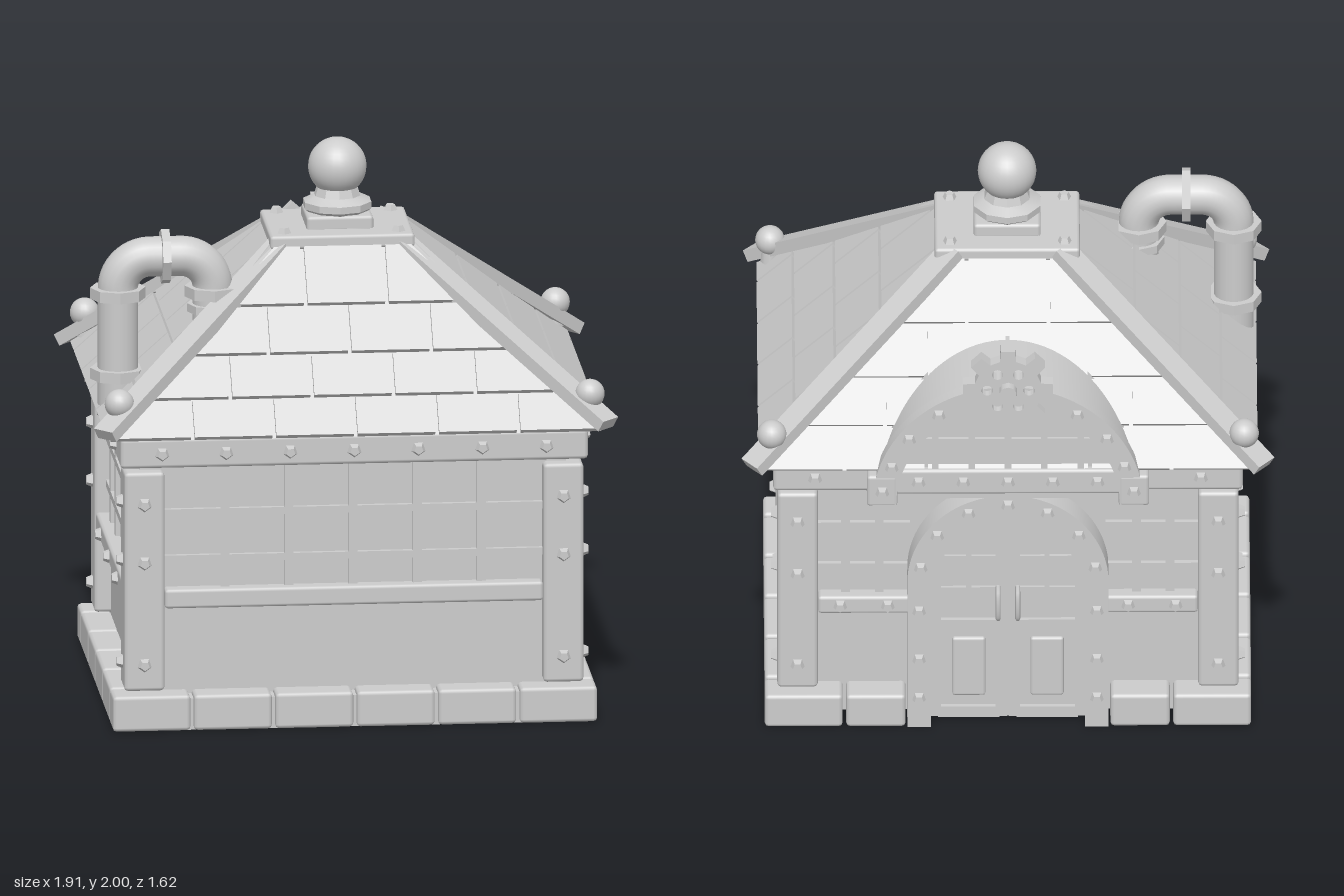
import * as THREE from 'three';
import { toCreasedNormals } from 'three/addons/utils/BufferGeometryUtils.js';
import { RoundedBoxGeometry } from 'three/addons/geometries/RoundedBoxGeometry.js';
import { ConvexGeometry } from 'three/addons/geometries/ConvexGeometry.js';

const stone = new THREE.MeshStandardMaterial({ color: 0xcccccc });
stone.name = 'pale grey';

function add(parent, name, geometry, x = 0, y = 0, z = 0) {
  const mesh = new THREE.Mesh(geometry, stone);
  mesh.name = name;
  mesh.position.set(x, y, z);
  parent.add(mesh);
  return mesh;
}

// Box from its limits, with bevelled edges when bevel > 0
function block(parent, name, x0, x1, y0, y1, z0, z1, bevel = 0) {
  const s = [x1 - x0, y1 - y0, z1 - z0];
  const g = bevel ? new RoundedBoxGeometry(...s, 1, bevel) : new THREE.BoxGeometry(...s);
  return add(parent, name, g, (x0 + x1) / 2, (y0 + y1) / 2, (z0 + z1) / 2);
}

// Five-sided bolt heads that face +z, or +y when up is true
const boltGeo = new THREE.CylinderGeometry(0.017, 0.028, 0.025, 5).toNonIndexed();
boltGeo.computeVertexNormals();
function bolt(parent, x, y, z, up = false) {
  const m = add(parent, 'bolt', boltGeo, x, y, z);
  if (!up) m.rotation.x = Math.PI / 2;
}

function extrude(shape, depth) {
  const g = new THREE.ExtrudeGeometry(shape, { depth, bevelEnabled: false, curveSegments: 28 });
  return toCreasedNormals(g, 0.5);
}

// Round-topped plate standing on y0; an inner radius makes it an open band
function arch(R, yc, y0, r = 0) {
  const s = new THREE.Shape();
  s.moveTo(-R, y0);
  s.lineTo(-R, yc);
  s.absarc(0, yc, R, Math.PI, 0, true);
  s.lineTo(R, y0);
  if (r) {
    s.lineTo(r, y0);
    s.lineTo(r, yc);
    s.absarc(0, yc, r, 0, Math.PI, false);
    s.lineTo(-r, y0);
  }
  return s;
}

// A group turned by quarter turns, so each side is built facing +z
function side(parent, name, k) {
  const g = new THREE.Group();
  g.name = name;
  g.rotation.y = k * Math.PI / 2;
  parent.add(g);
  return g;
}

function buildBase(house) {
  const base = side(house, 'stoneBase', 0), D = 0.708, gap = 0.006;
  block(base, 'floor', -0.85, 0.85, 0, 0.115, -0.58, 0.69);
  const stoneBlock = (a, b, c, d) =>
    block(base, 'baseStone', a + gap, b - gap, 0, 0.13, c + gap, d - gap, 0.014);
  const cuts = [-0.876, -0.585, -0.2925, 0, 0.2925, 0.585, 0.876];
  for (let i = 0; i < 6; i++) stoneBlock(cuts[i], cuts[i + 1], 0.57, D + gap);
  for (const s of [-1, 1]) {
    for (let i = 0; i < 4; i++) {
      const z = -0.57 + i * 0.285;
      stoneBlock(s > 0 ? 0.72 : -0.876, s > 0 ? 0.876 : -0.72, z, z + 0.285);
    }
    const back = [[0.36, 0.585], [0.585, 0.876]];
    for (const [a, b] of back) stoneBlock(s > 0 ? a : -b, s > 0 ? b : -a, -D - gap, -0.57);
  }
}

function buildWalls(house) {
  block(house, 'walls', -0.765, 0.765, 0.1, 1.0, -0.6, 0.61);
  block(house, 'topBeam', -0.84, 0.84, 0.96, 1.07, -0.672, 0.672, 0.014);
  for (const sx of [-1, 1]) for (const sz of [-1, 1])
    add(house, 'cornerPost', new RoundedBoxGeometry(0.145, 0.805, 0.145, 1, 0.014), sx * 0.7525, 0.54, sz * 0.59);
  const names = ['frontSide', 'rightSide', 'backSide', 'leftSide'];
  for (let k = 0; k < 4; k++) {
    const g = side(house, names[k], k), long = k % 2 === 0, back = k === 2;
    const wall = long ? (back ? 0.6 : 0.61) : 0.765;
    const half = long ? 0.68 : 0.517;
    const post = long ? 0.7525 : 0.59, postFace = long ? 0.6625 : 0.825;
    for (const s of [-1, 1]) for (const y of [0.235, 0.61, 0.825]) bolt(g, s * post, y, postFace + 0.01);
    // Bolts along the beam
    const pitch = long ? 0.23 : 0.245, n = long ? 3 : 2;
    for (let i = -n; i <= n; i++)
      if (!back || Math.abs(i) === 3) bolt(g, i * pitch, 1.013, (long ? 0.672 : 0.84) + 0.01);
    // Window bars and sills; the back ones leave room for the door
    const xs = back ? [-0.58, -0.46, 0.46, 0.58] : long ? [-0.46, -0.23, 0, 0.23, 0.46] : [-0.36, -0.17, 0.17, 0.36];
    for (const x of xs) block(g, 'windowBar', x - 0.016, x + 0.016, 0.5, 0.97, wall - 0.01, wall + 0.018);
    const spans = back ? [[-half, -0.35], [0.35, half]] : [[-half, half]];
    for (const [a, b] of spans) {
      for (const y of [0.615, 0.785]) block(g, 'windowBar', a, b, y - 0.013, y + 0.013, wall - 0.01, wall + 0.018);
      block(g, 'windowSill', a, b, 0.44, 0.51, wall - 0.02, wall + 0.055, 0.012);
    }
    const sillBolts = back ? [-0.6, -0.43, 0.43, 0.6] : long ? [] : [-0.325, 0, 0.325];
    for (const x of sillBolts) bolt(g, x, 0.475, wall + 0.063);
  }
}

function buildRoof(house) {
  const roof = side(house, 'roof', 0);
  const y0 = 1.075, y1 = 1.645, X = [0.88, 0.24], Z = [0.72, 0.19];
  const corners = [];
  for (const i of [0, 1]) for (const a of [-1, 1]) for (const b of [-1, 1])
    corners.push(new THREE.Vector3(a * X[i], i ? y1 : y0, b * Z[i]));
  add(roof, 'roofCore', new ConvexGeometry(corners));

  // Four rows of tiles on each slope, joints staggered from row to row
  const rows = [1.075, 1.19, 1.32, 1.465, 1.645], gap = 0.007;
  for (let k = 0; k < 4; k++) {
    const [W, D] = k % 2 ? [Z, X] : [X, Z];
    const run = D[0] - D[1], rise = y1 - y0, stretch = Math.hypot(run, rise) / rise;
    const slope = new THREE.Group();
    slope.name = 'tiledSlope';
    slope.position.set(0, y0, D[0]);
    slope.rotation.x = -Math.atan2(run, rise);
    side(roof, 'roofSide', k).add(slope);
    const width = (y) => W[0] + (W[1] - W[0]) * (y - y0) / rise;
    const joints = [[-0.585, -0.2925, 0, 0.2925, 0.585], [-0.44, -0.146, 0.146, 0.44],
      [-0.2925, 0, 0.2925], [-0.146, 0.146]];
    joints.forEach((cuts, r) => {
      const lo = rows[r] + (r ? gap * 0.6 : 0), hi = rows[r + 1] - gap * 0.6;
      const edges = [-9, ...cuts, 9];
      for (let i = 0; i + 1 < edges.length; i++) {
        const at = (u, y) => new THREE.Vector2(
          THREE.MathUtils.clamp(u, -width(y), width(y)), (y - y0) * stretch);
        const a = edges[i] + gap, b = edges[i + 1] - gap;
        add(slope, 'roofTile', extrude(new THREE.Shape([at(a, lo), at(b, lo), at(b, hi), at(a, hi)]), 0.02));
      }
    });
  }

  // Hip caps with a ball at each corner
  for (const sx of [-1, 1]) for (const sz of [-1, 1]) {
    const low = new THREE.Vector3(sx * 0.91, 1.105, sz * 0.75);
    const high = new THREE.Vector3(sx * 0.2, 1.665, sz * 0.165);
    const cap = add(roof, 'hipCap', new THREE.BoxGeometry(0.09, 0.045, low.distanceTo(high)));
    cap.position.copy(low).add(high).multiplyScalar(0.5);
    cap.lookAt(high);
    add(roof, 'cornerBallNeck', new THREE.CylinderGeometry(0.03, 0.035, 0.06, 10), sx * 0.845, 1.15, sz * 0.683);
    add(roof, 'cornerBall', new THREE.SphereGeometry(0.053, 20, 14), sx * 0.845, 1.205, sz * 0.683);
  }

  // Top plate and finial
  block(roof, 'topPlate', -0.26, 0.26, 1.64, 1.69, -0.21, 0.21, 0.012);
  for (const sx of [-1, 1]) for (const sz of [-1, 1]) bolt(roof, sx * 0.205, 1.698, sz * 0.155, true);
  block(roof, 'finialPlinth', -0.12, 0.12, 1.68, 1.735, -0.115, 0.115, 0.012);
  const profile = [[0, 1.73], [0.105, 1.73], [0.125, 1.745], [0.125, 1.77], [0.085, 1.79], [0.075, 1.82], [0, 1.82]];
  add(roof, 'finialNeck', toCreasedNormals(
    new THREE.LatheGeometry(profile.map(p => new THREE.Vector2(...p)), 10), 0.3));
  add(roof, 'finialBall', new THREE.SphereGeometry(0.105, 28, 20), 0, 1.895, 0);
}

function buildDoor(house) {
  const door = side(house, 'doorway', 2), yc = 0.6;
  add(door, 'doorSurround', extrude(arch(0.36, yc, 0, 0.275), 0.125), 0, 0, 0.58);
  add(door, 'doorLeaves', extrude(arch(0.28, yc, 0), 0.05), 0, 0, 0.575);
  add(door, 'doorFrame', extrude(arch(0.277, yc, 0.01, 0.24), 0.025), 0, 0, 0.62);
  for (const s of [-1, 1]) {
    for (const y of [0.12, 0.28, 0.48]) bolt(door, s * 0.318, y, 0.713);
    block(door, 'doorStile', s * 0.024 - 0.02, s * 0.024 + 0.02, 0.01, 0.865, 0.61, 0.648);
    block(door, 'lowerPanel', s * 0.14 - 0.06, s * 0.14 + 0.06, 0.09, 0.33, 0.61, 0.64, 0.01);
    block(door, 'paneBar', s * 0.14 - 0.009, s * 0.14 + 0.009, 0.42, 0.8, 0.61, 0.636);
    for (const y of [0.025, 0.385]) block(door, 'doorRail', s * 0.14 - 0.11, s * 0.14 + 0.11, y - 0.022, y + 0.022, 0.61, 0.642);
    for (const y of [0.53, 0.66]) block(door, 'paneBar', s * 0.14 - 0.1, s * 0.14 + 0.1, y - 0.009, y + 0.009, 0.61, 0.636);
    const grip = new THREE.CatmullRomCurve3([[0.42, 0.64], [0.435, 0.68], [0.535, 0.68], [0.55, 0.64]]
      .map(([y, z]) => new THREE.Vector3(s * 0.035, y, z)));
    add(door, 'doorHandle', new THREE.TubeGeometry(grip, 14, 0.009, 6));
  }
  for (let i = 0; i <= 6; i++) {
    const a = Math.PI * (0.06 + 0.88 * i / 6);
    bolt(door, 0.318 * Math.cos(a), yc + 0.318 * Math.sin(a), 0.713);
  }
}

function buildDormer(house) {
  const dormer = side(house, 'archedDormer', 2), yc = 0.955;
  add(dormer, 'dormerVault', extrude(arch(0.475, yc + 0.03, 1.0), 0.36), 0, -0.025, 0.362);
  add(dormer, 'dormerRim', extrude(arch(0.485, yc, 0.95, 0.4), 0.055), 0, 0, 0.7);
  block(dormer, 'dormerBeam', -0.42, 0.42, 0.99, 1.09, 0.66, 0.748, 0.012);
  for (let i = -2; i <= 2; i++) bolt(dormer, i * 0.16, 1.04, 0.757);
  for (const x of [-0.26, -0.13, 0, 0.13, 0.26])
    block(dormer, 'dormerBar', x - 0.012, x + 0.012, 1.07, yc + Math.sqrt(0.165 - x * x), 0.71, 0.735);
  block(dormer, 'dormerBar', -0.34, 0.34, 1.19, 1.214, 0.71, 0.735);
  for (const s of [-1, 1]) {
    block(dormer, 'dormerBracket', s * 0.45 - 0.055, s * 0.45 + 0.055, 0.945, 1.07, 0.6, 0.757, 0.012);
    bolt(dormer, s * 0.45, 1.005, 0.766);
  }
  for (const deg of [20, 37, 56, 124, 143, 160]) {
    const a = deg * Math.PI / 180;
    bolt(dormer, 0.443 * Math.cos(a), yc + 0.443 * Math.sin(a), 0.763);
  }

  // Eight-toothed gear with a pierced web
  const gear = new THREE.Shape();
  for (let i = 0; i < 8; i++) for (const [t, r] of [[-0.24, 0.122], [-0.16, 0.163], [0.16, 0.163], [0.24, 0.122]]) {
    const a = i * Math.PI / 4 + t, x = r * Math.cos(a), y = r * Math.sin(a);
    if (i || t > -0.24) gear.lineTo(x, y); else gear.moveTo(x, y);
  }
  for (let i = 0; i < 6; i++) {
    const a = i * Math.PI / 3, hole = new THREE.Path();
    hole.absarc(0.075 * Math.cos(a), 0.075 * Math.sin(a), 0.02, 0, Math.PI * 2, true);
    gear.holes.push(hole);
  }
  add(dormer, 'gear', extrude(gear, 0.05), 0, 1.445, 0.737);
  add(dormer, 'gearHub', new THREE.CylinderGeometry(0.032, 0.036, 0.12, 10), 0, 1.445, 0.76).rotation.x = Math.PI / 2;
}

function buildPipe(house) {
  const pipe = side(house, 'bentPipe', 0), z = 0.258, top = 1.64, r = 0.115, xa = -0.812, xb = -0.472;
  const P = (x, y) => new THREE.Vector3(x, y, z);
  const path = new THREE.CurvePath();
  const k = r * 0.448; // handle inset for a round elbow
  path.add(new THREE.LineCurve3(P(xa, 1.1), P(xa, top - r)));
  path.add(new THREE.CubicBezierCurve3(P(xa, top - r), P(xa, top - k), P(xa + k, top), P(xa + r, top)));
  path.add(new THREE.LineCurve3(P(xa + r, top), P(xb - r, top)));
  path.add(new THREE.CubicBezierCurve3(P(xb - r, top), P(xb - k, top), P(xb, top - k), P(xb, top - r)));
  path.add(new THREE.LineCurve3(P(xb, top - r), P(xb, 1.34)));
  add(pipe, 'pipe', new THREE.TubeGeometry(path, 70, 0.072, 18));
  const flange = (x, y, radius, h) => add(pipe, 'pipeFlange',
    toCreasedNormals(new THREE.CylinderGeometry(radius, radius, h, 8), 0.3), x, y, z);
  flange(xa, 1.51, 0.1, 0.04);
  flange(xa, 1.215, 0.1, 0.04);
  flange(xb, 1.51, 0.1, 0.04);
  flange(xb, 1.45, 0.092, 0.03);
  flange((xa + xb) / 2, top, 0.1, 0.03).rotation.z = Math.PI / 2;
}

export function createModel() {
  const model = new THREE.Group();
  model.name = 'house';
  const house = side(model, 'building', 0);
  house.position.z = 0.018;
  buildBase(house);
  buildWalls(house);
  buildRoof(house);
  buildDoor(house);
  buildDormer(house);
  buildPipe(house);
  return model;
}
